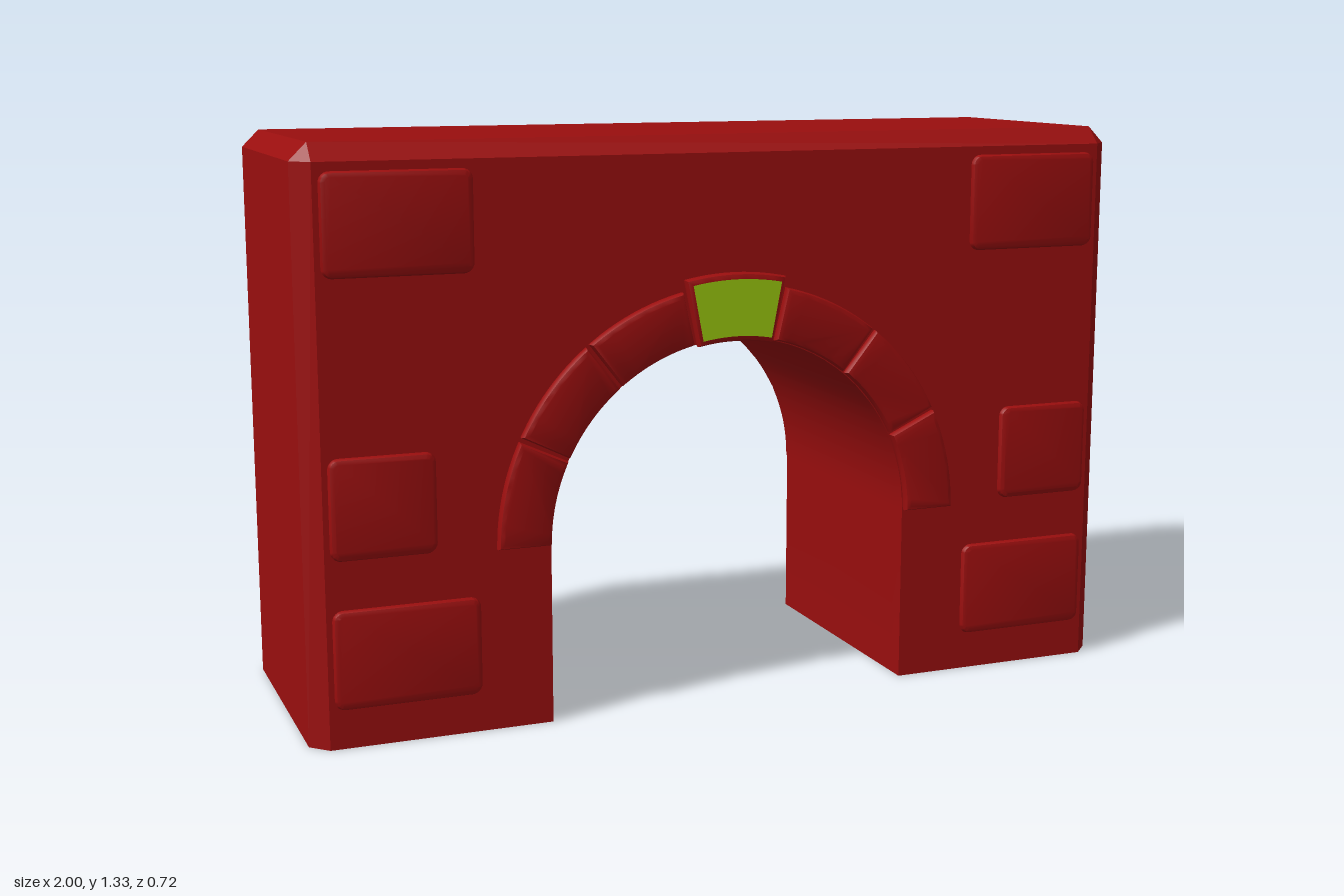
import * as THREE from 'three';
import { toCreasedNormals } from 'three/addons/utils/BufferGeometryUtils.js';

const SPRING = 0.42;  // height where the arch starts
const RADIUS = 0.445; // arch opening radius
const HALF_Z = 0.333; // half depth of the block
const CHAMFER = 0.04;
const TOP = 1.33;

// Block with an arched opening; only outer side and top edges are chamfered
function bodyGeometry() {
  const s = new THREE.Shape();
  s.moveTo(RADIUS, 0);
  s.lineTo(1, 0);
  s.lineTo(1, TOP - CHAMFER);
  s.lineTo(1 - CHAMFER, TOP);
  s.lineTo(CHAMFER - 1, TOP);
  s.lineTo(-1, TOP - CHAMFER);
  s.lineTo(-1, 0);
  s.lineTo(-RADIUS, 0);
  s.absarc(0, SPRING, RADIUS, Math.PI, 0, true);
  const geo = new THREE.ExtrudeGeometry(s, { depth: 3, steps: 3, bevelEnabled: false, curveSegments: 20 });
  const layers = [-HALF_Z, CHAMFER - HALF_Z, HALF_Z - CHAMFER, HALF_Z];
  const p = geo.attributes.position;
  for (let i = 0; i < p.count; i++) {
    const layer = Math.round(p.getZ(i));
    p.setZ(i, layers[layer]);
    if (layer === 0 || layer === 3) { // pull the end layers in to form the chamfer
      p.setX(i, THREE.MathUtils.clamp(p.getX(i), CHAMFER - 1, 1 - CHAMFER));
      p.setY(i, Math.min(p.getY(i), TOP - CHAMFER));
    }
  }
  return toCreasedNormals(geo, 0.5);
}

// Ring segment between two radii and two angles in degrees, inset by b
function wedgeShape(r0, r1, a0, a1, b = 0) {
  const rad = THREE.MathUtils.degToRad;
  const inner = r0 + b, outer = r1 - b;
  const s = new THREE.Shape();
  s.absarc(0, SPRING, outer, rad(a0) + b / outer, rad(a1) - b / outer, false);
  s.absarc(0, SPRING, inner, rad(a1) - b / inner, rad(a0) + b / inner, true);
  return s;
}

// Rectangle with rounded corners
function stoneShape(x0, x1, y0, y1, b, r = 0.012) {
  const s = new THREE.Shape();
  s.absarc(x1 - b - r, y0 + b + r, r, -Math.PI / 2, 0, false);
  s.absarc(x1 - b - r, y1 - b - r, r, 0, Math.PI / 2, false);
  s.absarc(x0 + b + r, y1 - b - r, r, Math.PI / 2, Math.PI, false);
  s.absarc(x0 + b + r, y0 + b + r, r, Math.PI, Math.PI * 1.5, false);
  return s;
}

// Raised stone with soft edges whose face lies at z = front
function raised(shape, front, b, segments) {
  const depth = 0.01;
  const geo = new THREE.ExtrudeGeometry(shape, {
    depth, bevelThickness: b, bevelSize: b, bevelSegments: 2, curveSegments: segments,
  });
  geo.translate(0, 0, front - depth - b);
  return toCreasedNormals(geo, 0.75);
}

export function createModel() {
  const red = new THREE.MeshStandardMaterial({ color: 0x9a0e0e });
  red.name = 'brick red';
  const green = new THREE.MeshStandardMaterial({ color: 0x9ac80e });
  green.name = 'lime green';

  const model = new THREE.Group();
  model.name = 'archway';
  const add = (parent, geo, mat, name) => {
    const mesh = new THREE.Mesh(geo, mat);
    mesh.name = name;
    parent.add(mesh);
  };
  add(model, bodyGeometry(), red, 'archBlock');

  // The same stonework on the front and the back
  for (const side of ['front', 'back']) {
    const face = new THREE.Group();
    face.name = side + 'Stonework';
    if (side === 'back') face.rotation.y = Math.PI;
    model.add(face);

    // Arch stones, three on each flank
    const b = 0.012;
    for (const [a0, a1] of [[0, 25], [26, 51], [52, 77]]) {
      for (const [s, e] of [[a0, a1], [180 - a1, 180 - a0]]) {
        add(face, raised(wedgeShape(0.447, 0.572, s, e, b), 0.355, b, 5), red, 'archStone');
      }
    }

    // Keystone with its coloured face
    add(face, raised(wedgeShape(0.44, 0.598, 78, 102, b), 0.356, b, 5), red, 'keystone');
    const panel = new THREE.ShapeGeometry(wedgeShape(0.453, 0.584, 79.2, 100.8), 5);
    panel.translate(0, 0, 0.358);
    add(face, panel, green, 'keystonePanel');

    // Corner stones, mirrored left and right
    for (const [inner, y0, y1] of [[0.612, 0.09, 0.316], [0.708, 0.427, 0.655], [0.612, 1.043, 1.27]]) {
      for (const [x0, x1] of [[inner, 0.947], [-0.947, -inner]]) {
        add(face, raised(stoneShape(x0, x1, y0, y1, b), 0.347, b, 3), red, 'cornerStone');
      }
    }
  }
  return model;
}
